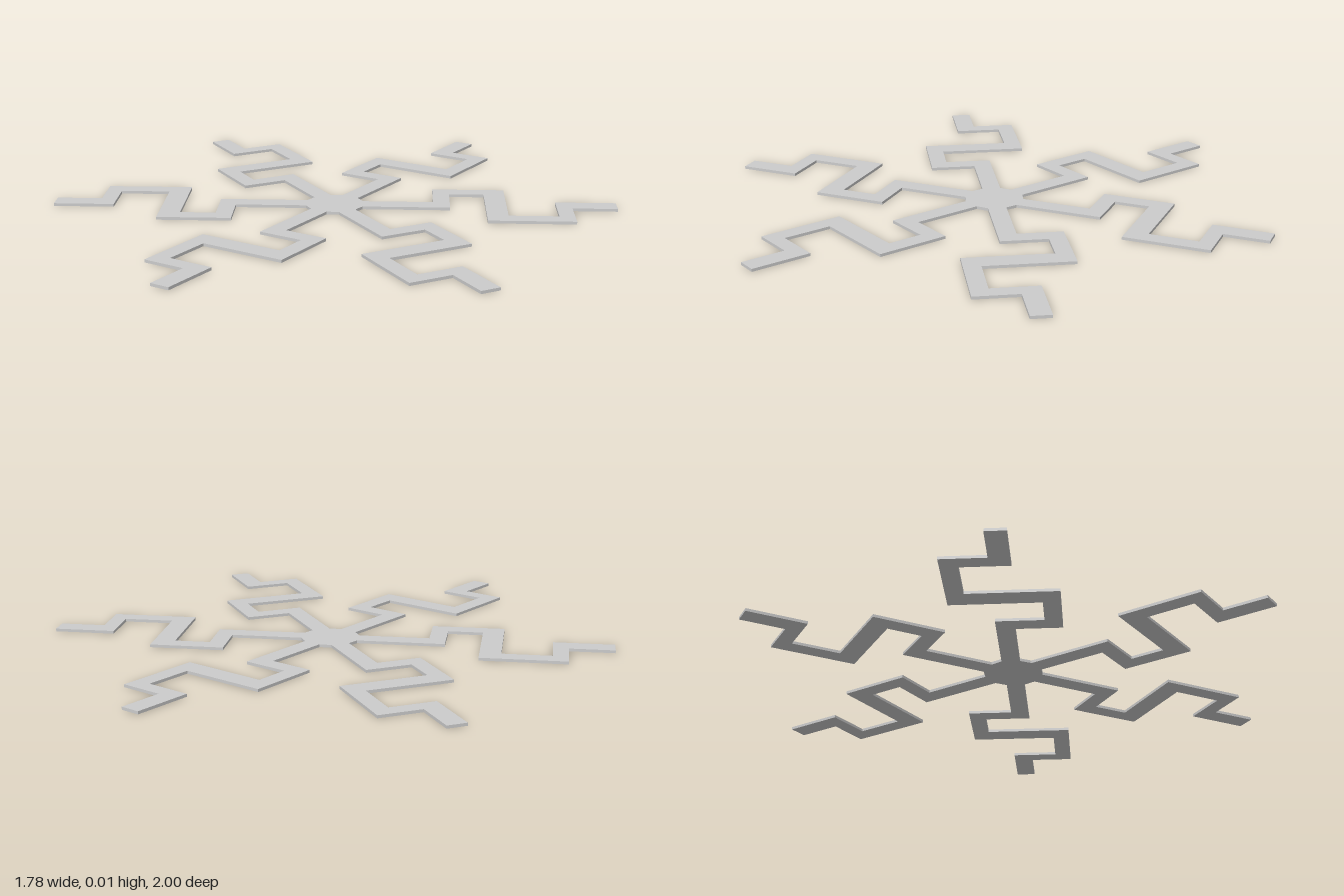
import * as THREE from 'three';

const THICKNESS = 0.01;
const ARMS = 6;

// Outline of one meandering arm: [sideways, outward], up its right edge and back down its left
const ARM = [
  [0.03, 0.1], [0.03, 0.35], [0.19, 0.35], [0.19, 0.61], [-0.12, 0.61], [-0.12, 0.785],
  [0.045, 0.785], [0.045, 1], [-0.025, 1], [-0.025, 0.84], [-0.18, 0.84], [-0.18, 0.535],
  [0.13, 0.535], [0.13, 0.41], [-0.035, 0.41], [-0.035, 0.1],
];

export function createModel() {
  const group = new THREE.Group();
  group.name = 'snowflake';

  // Six turned arm outlines join into one closed contour; the links between them form the hub
  const outline = [];
  const centre = new THREE.Vector2();
  for (let i = 0; i < ARMS; i++) {
    for (const [u, v] of ARM) {
      outline.push(new THREE.Vector2(u, v).rotateAround(centre, (i * 2 * Math.PI) / ARMS));
    }
  }

  // Flat plate lying on the ground
  const geometry = new THREE.ExtrudeGeometry(new THREE.Shape(outline), {
    depth: THICKNESS, bevelEnabled: false,
  });
  geometry.rotateX(Math.PI / 2);
  geometry.translate(0, THICKNESS, 0);

  const plate = new THREE.Mesh(geometry, new THREE.MeshStandardMaterial({ color: 0xcccccc }));
  plate.name = 'hubAndArms';
  group.add(plate);
  return group;
}
